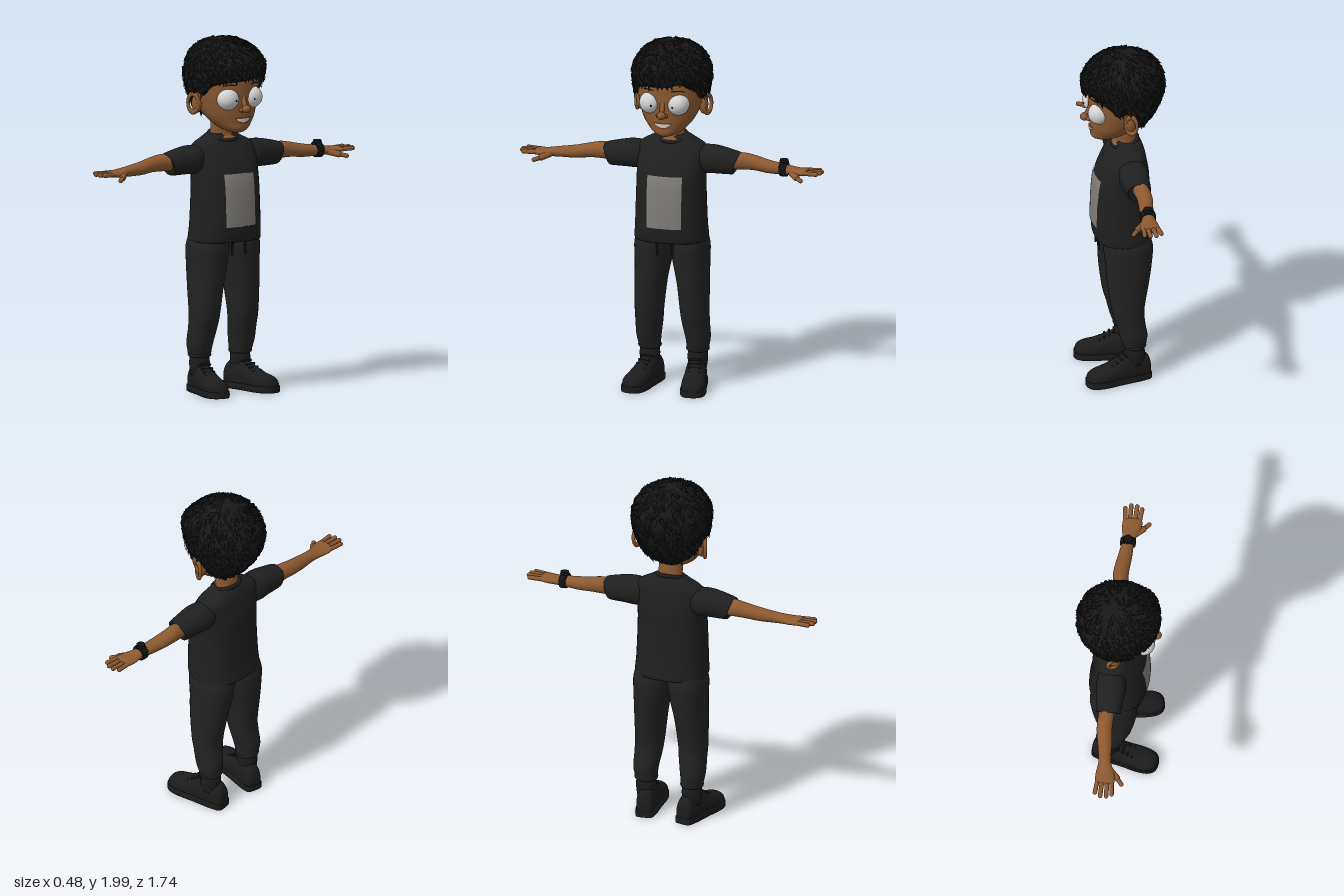
import * as THREE from 'three';
import { mergeGeometries, mergeVertices } from 'three/addons/utils/BufferGeometryUtils.js';

const mat = (name, color) => Object.assign(new THREE.MeshStandardMaterial({ color }), { name });

// Catmull-Rom smoothing of a few cross-sections [t, cx, cz, rx, rz]
function smooth(rows, k = 6) {
  const out = [], R = i => rows[Math.min(Math.max(i, 0), rows.length - 1)];
  for (let i = 0; i < rows.length - 1; i++) for (let s = 0; s < k; s++) {
    const t = s / k, [a, b, c, d] = [R(i - 1), R(i), R(i + 1), R(i + 2)];
    out.push(b.map((_, j) => 0.5 * (2 * b[j] + (c[j] - a[j]) * t +
      (2 * a[j] - 5 * b[j] + 4 * c[j] - d[j]) * t * t + (3 * b[j] - a[j] - 3 * c[j] + d[j]) * t ** 3)));
  }
  out.push(rows[rows.length - 1]);
  return out;
}

// Cross-section at height y
function at(rings, y) {
  let i = 0;
  while (i < rings.length - 2 && rings[i + 1][0] < y) i++;
  const a = rings[i], b = rings[i + 1];
  const t = THREE.MathUtils.clamp((y - a[0]) / (b[0] - a[0] || 1), 0, 1);
  return a.map((v, j) => v + (b[j] - v) * t);
}

// Closed skin over (super)elliptic rings; axis 'x' rows are [x, cz, cy, rz, ry], axis 'z' rows are [z, cy, cx, ry, rx]
function loft(rows, axis = 'y', power = 2, bend = null, n = 36) {
  const rings = smooth(rows), pos = [], idx = [], pw = v => Math.sign(v) * Math.abs(v) ** (2 / power);
  const put = (x, y, z) => {
    const p = new THREE.Vector3(...(axis === 'y' ? [x, y, z] : axis === 'x' ? [y, z, x] : [z, x, y]));
    if (bend) bend(p);
    pos.push(p.x, p.y, p.z);
  };
  for (const [t, cx, cz, rx, rz] of rings) for (let j = 0; j < n; j++) {
    const a = j / n * Math.PI * 2;
    put(cx + rx * pw(Math.sin(a)), t, cz + rz * pw(Math.cos(a)));
  }
  const m = rings.length, first = rings[0], last = rings[m - 1];
  put(first[1], first[0], first[2]);
  put(last[1], last[0], last[2]);
  for (let j = 0; j < n; j++) {
    const k = (j + 1) % n;
    for (let i = 0; i < m - 1; i++) {
      const a = i * n + j, b = i * n + k;
      idx.push(a, b, b + n, a, b + n, a + n);
    }
    idx.push(m * n, k, j, m * n + 1, (m - 1) * n + j, (m - 1) * n + k);
  }
  const g = new THREE.BufferGeometry();
  g.setAttribute('position', new THREE.Float32BufferAttribute(pos, 3));
  g.setIndex(idx);
  g.computeVertexNormals();
  return g;
}

// Thin plate that follows the front of a lofted body
function patch(rows, x0, x1, lo, hi, off, power = 2) {
  const rings = smooth(rows), g = new THREE.PlaneGeometry(1, 1, 16, 12), p = g.attributes.position;
  for (let i = 0; i < p.count; i++) {
    const x = x0 + (x1 - x0) * (p.getX(i) + 0.5), y = lo(x) + (hi(x) - lo(x)) * (p.getY(i) + 0.5);
    const [, cx, cz, rx, rz] = at(rings, y);
    const f = Math.max(0, 1 - Math.abs((x - cx) / rx) ** power);
    p.setXYZ(i, x, y, cz + rz * f ** (1 / power) + off);
  }
  g.computeVertexNormals();
  return g;
}

// Rounded rod between two points
function rod(a, b, r) {
  const A = new THREE.Vector3(...a), B = new THREE.Vector3(...b), d = B.clone().sub(A);
  const g = new THREE.CapsuleGeometry(r, d.length(), 6, 12);
  g.applyQuaternion(new THREE.Quaternion().setFromUnitVectors(new THREE.Vector3(0, 1, 0), d.normalize()));
  return g.translate(...A.add(B).multiplyScalar(0.5).toArray());
}

function ball(r, sx, sy, sz, x, y, z) {
  return new THREE.SphereGeometry(r, 28, 20).scale(sx, sy, sz).translate(x, y, z);
}

function mirror(geo) {
  const g = geo.clone().scale(-1, 1, 1), ix = g.index.array;
  for (let i = 0; i < ix.length; i += 3) [ix[i], ix[i + 1]] = [ix[i + 1], ix[i]];
  return g;
}

const HEAD = [[1.462, 0, .11, 0, 0], [1.466, 0, .11, .03, .04], [1.485, 0, .088, .075, .085], [1.52, 0, .06, .115, .115],
  [1.56, 0, .04, .145, .138], [1.62, 0, .015, .17, .166], [1.7, 0, 0, .188, .184], [1.8, 0, -.005, .185, .18], [1.9, 0, 0, .12, .12], [1.93, 0, 0, 0, 0]];
const SHIRT = [[.87, 0, -.005, .185, .14], [.856, 0, -.005, .205, .162], [.95, 0, .003, .2, .162], [1.15, 0, .004, .194, .153],
  [1.25, 0, -.005, .194, .142], [1.33, 0, -.018, .197, .115], [1.385, 0, -.03, .185, .092], [1.42, 0, -.035, .125, .075], [1.445, 0, -.035, .082, .062]];
const HAIR = [[1.5, 0, -.005, .08, .06], [1.52, 0, -.01, .11, .08], [1.58, 0, -.01, .165, .13], [1.66, 0, -.005, .197, .195], [1.75, 0, -.01, .215, .224],
  [1.83, 0, -.007, .214, .226], [1.91, 0, -.012, .174, .185], [1.955, 0, -.012, .115, .12], [1.975, 0, -.01, .055, .055], [1.98, 0, -.01, 0, 0]];
const HAIRLINE = smooth([[0, 1.755], [.6, 1.745], [1.0, 1.72], [1.25, 1.665], [1.5, 1.685], [1.75, 1.65], [2.1, 1.56], [2.6, 1.52], [3.15, 1.515]]);

// Hair shell and a seeded scatter of tufts combed away from the crown
function hairGeometry() {
  const rings = smooth(HAIR);
  const point = (a, v) => {
    const line = at(HAIRLINE, Math.abs(a))[1] + .025 * Math.exp(-((a - .5) ** 2) / .06);
    const y = line + (1.98 - line) * Math.cos(Math.min(v, 1) * Math.PI / 2);
    const [, , cz, rx, rz] = at(rings, y);
    const puff = 1 + .08 * Math.exp(-((a - .65) ** 2) / .15 - ((y - 1.87) / .06) ** 2);
    const s = v > 1 ? .84 : puff;
    return new THREE.Vector3(rx * s * Math.sin(a), y, cz + rz * s * Math.cos(a));
  };
  let shell = new THREE.PlaneGeometry(1, 1, 60, 31);
  const p = shell.attributes.position;
  for (let i = 0; i < p.count; i++) {
    const q = point(p.getX(i) * Math.PI * 2, (.5 - p.getY(i)) * 31 / 30);
    p.setXYZ(i, q.x, q.y, q.z);
  }
  shell.deleteAttribute('uv');
  shell.deleteAttribute('normal');
  shell = mergeVertices(shell, 1e-5);
  shell.computeVertexNormals();
  let seed = 7;
  const rnd = () => (seed = (seed * 16807) % 2147483647) / 2147483647;
  const parts = [shell], up = new THREE.Vector3(0, 1, 0);
  for (let i = 0; i < 850; i++) {
    const a = (rnd() * 2 - 1) * Math.PI, v = .06 + .9 * Math.sqrt(rnd());
    const c = point(a, v), down = point(a, v + .03).sub(c).normalize(), side = point(a + .05, v).sub(c).normalize();
    const out = down.clone().cross(side).normalize();
    const dir = down.addScaledVector(side, (rnd() - .4) * .9).addScaledVector(out, .3 + .25 * rnd()).normalize();
    const g = new THREE.ConeGeometry(.012 + .006 * rnd(), .042 + .02 * rnd(), 5);
    g.deleteAttribute('uv');
    parts.push(g.applyQuaternion(new THREE.Quaternion().setFromUnitVectors(up, dir)).translate(c.x, c.y, c.z));
  }
  return mergeGeometries(parts);
}

export function createModel() {
  const skin = mat('skin', 0x8c5930), lip = mat('lip', 0x6e3f24), hair = mat('hair', 0x181818), shirt = mat('shirt', 0x1f1f1f);
  const pants = mat('pants', 0x222222), shoe = mat('shoe', 0x1c1c1c), print = mat('print', 0x807d7a), white = mat('white', 0xd4d4d4), black = mat('black', 0x121212);
  hair.side = THREE.DoubleSide;
  const model = new THREE.Group(), figure = new THREE.Group();
  model.name = 'figure';
  figure.name = 'body';
  figure.rotation.y = Math.PI / 2;
  model.add(figure);
  const add = (name, geo, m) => {
    const mesh = new THREE.Mesh(geo, m);
    mesh.name = name;
    figure.add(mesh);
  };
  const pair = (name, geo, m) => {
    add('left' + name, geo, m);
    add('right' + name, mirror(geo), m);
  };

  // Head and face
  add('head', loft(HEAD), skin);
  add('neck', loft([[1.395, 0, -.01, .04, .03], [1.42, 0, -.014, .07, .068], [1.445, 0, -.026, .068, .058], [1.56, 0, -.01, .07, .06]]), skin);
  add('nose', mergeGeometries([ball(.024, 1, .95, 1.1, 0, 1.603, .208), ball(.014, 1, .9, 1, .02, 1.597, .19),
    ball(.014, 1, .9, 1, -.02, 1.597, .19), rod([0, 1.67, .172], [0, 1.61, .2], .014)]), skin);
  const curve = (y, k) => x => y + k * x * x;
  add('lips', patch(HEAD, -.056, .056, curve(1.515, 12), curve(1.556, 0), .005), lip);
  add('teeth', patch(HEAD, -.044, .044, curve(1.526, 9), curve(1.547, 0), .008), white);
  pair('Eye', ball(.062, 1, 1, 1, .08, 1.658, .142), white);
  pair('Pupil', ball(.006, 1, 1, .6, .062, 1.652, .2), black);
  pair('Eyebrow', patch(HEAD, .05, .12, x => 1.735 - 3 * (x - .08) ** 2, x => 1.743 - 5 * (x - .08) ** 2, .005), black);
  const rim = new THREE.TorusGeometry(.038, .011, 10, 28).scale(.85, 1.35, 1).rotateY(Math.PI / 2 - .45).translate(.203, 1.628, -.015);
  pair('Ear', mergeGeometries([ball(.045, .55, 1.2, .75, .182, 1.625, -.01), rim]), skin);
  add('hair', hairGeometry(), hair);

  // Shirt
  add('shirt', loft(SHIRT, 'y', 2.4), shirt);
  add('collar', new THREE.TorusGeometry(.08, .011, 10, 40).rotateX(Math.PI / 2).scale(1, 1, .9).rotateX(.3).translate(0, 1.432, -.02), shirt);
  add('shirtPrint', patch(SHIRT, -.1, .1, () => .94, () => 1.235, .006, 2.4), print);
  const slant = p => { p.x += (p.y - 1.3) * .32; };
  pair('Sleeve', loft([[.1, -.03, 1.325, .06, .06], [.2, -.027, 1.312, .083, .078], [.28, -.025, 1.306, .076, .073],
    [.368, -.025, 1.296, .067, .062], [.36, -.025, 1.296, .058, .054]], 'x', 2.2, slant), shirt);

  // Arms and hands
  pair('Arm', loft([[.3, -.03, 1.305, .045, .048], [.4, -.036, 1.309, .043, .048], [.47, -.037, 1.304, .043, .042], [.55, -.027, 1.292, .04, .037],
    [.64, -.018, 1.286, .034, .03], [.69, -.012, 1.283, .043, .025], [.73, -.007, 1.281, .053, .021], [.775, -.005, 1.284, .05, .017], [.79, -.005, 1.285, 0, 0]], 'x'), skin);
  const fingers = [[-.045, -.053, .84], [-.02, -.022, .858], [.008, .011, .857], [.032, .04, .842]]
    .map(([z0, z1, x]) => rod([.76, 1.284, z0], [x, 1.286, z1], .0125));
  pair('Hand', mergeGeometries([...fingers, rod([.695, 1.276, .015], [.735, 1.264, .058], .018), rod([.735, 1.264, .058], [.768, 1.256, .087], .0125)]), skin);
  add('watchStrap', loft([[.624, -.018, 1.288, .034, .03], [.625, -.018, 1.29, .043, .042], [.66, -.018, 1.288, .043, .042], [.661, -.018, 1.286, .034, .03]], 'x', 2.3), black);
  add('watchFace', new THREE.CylinderGeometry(.024, .026, .016, 24).translate(.643, 1.335, -.018), black);

  // Trousers with drawstrings and gathered cuffs
  pair('TrouserLeg', loft([[.2, .138, -.045, .05, .052], [.215, .138, -.045, .06, .064], [.235, .14, -.043, .063, .068], [.28, .141, -.038, .069, .078], [.36, .134, -.022, .076, .082],
    [.44, .13, -.01, .08, .092], [.6, .121, -.013, .088, .117], [.72, .109, -.018, .1, .13], [.82, .103, -.016, .107, .138], [.9, .1, -.01, .09, .12]], 'y', 2.2), pants);
  pair('Cuff', new THREE.TorusGeometry(.053, .013, 10, 32).rotateX(Math.PI / 2).translate(.138, .212, -.045), pants);
  pair('Drawstring', rod([.042, .87, .135], [.044, .785, .136], .007), black);

  // Socks and shoes, toes turned outward
  const place = g => g.rotateY(.18).translate(.138, 0, -.008);
  pair('Sock', loft([[.1, .138, -.045, .05, .052], [.16, .138, -.045, .057, .058], [.21, .138, -.045, .053, .054]]), shoe);
  const UPPER = [[-.13, .05, 0, 0, 0], [-.128, .055, 0, .04, .028], [-.112, .06, 0, .078, .045], [-.06, .07, 0, .1, .054], [0, .07, 0, .1, .057],
    [.06, .06, 0, .08, .06], [.13, .05, 0, .058, .066], [.19, .045, 0, .047, .062], [.225, .04, 0, .035, .045], [.24, .035, 0, .012, .018], [.242, .035, 0, 0, 0]];
  pair('Shoe', place(loft(UPPER, 'z', 2.2, p => { p.y = Math.max(p.y, .01); })), shoe);
  const sole = UPPER.map(([z, , , , rx]) => [z * 1.01, .018, 0, rx ? .05 : 0, rx ? rx + .006 : 0]);
  pair('Sole', place(loft(sole, 'z', 2.8, p => { p.y = THREE.MathUtils.clamp(p.y, 0, .036); })), shoe);
  const laces = [0, 1, 2, 3].map(i => rod([-.03, .158 - i * .016, .022 + i * .026], [.03, .158 - i * .016, .022 + i * .026], .007));
  pair('Laces', place(mergeGeometries(laces)), black);
  return model;
}
